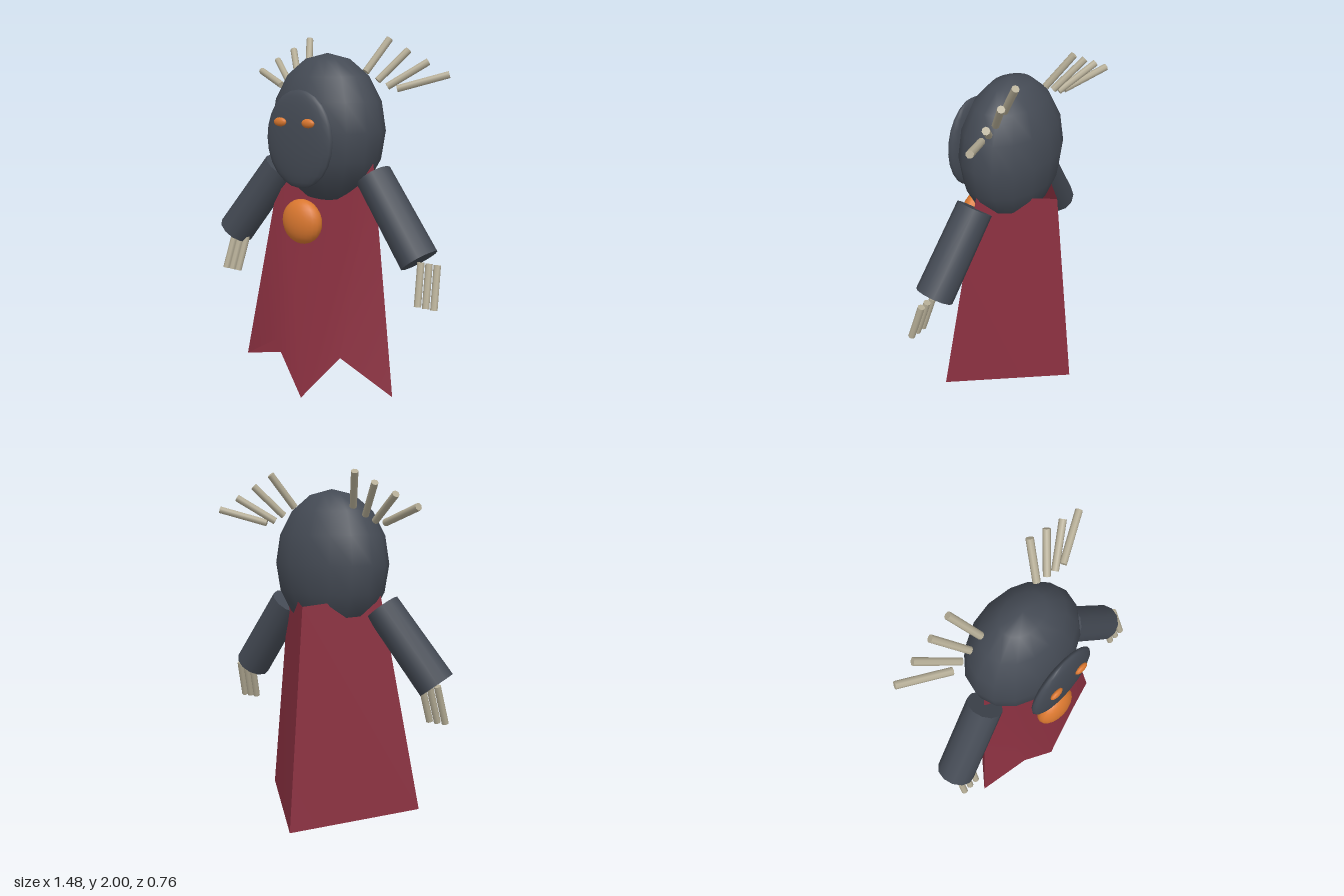
import * as THREE from 'three';

const mat = (name, color, extra = {}) => new THREE.MeshStandardMaterial({ name, color, ...extra });

export function createModel() {
  const model = new THREE.Group();
  model.name = 'hoodedFigure';
  const slate = mat('slate', 0x444a54);
  const crimson = mat('crimson', 0x8a3040, { side: THREE.DoubleSide });
  const orange = mat('orange', 0xd9772f);
  const bone = mat('bone', 0xb5ad96);
  const CX = -0.033; // middle of the body

  const add = (name, geometry, material) => {
    const mesh = new THREE.Mesh(geometry, material);
    mesh.name = name;
    model.add(mesh);
    return mesh;
  };

  const ellipsoid = (name, material, pos, radii, w, h) => {
    const mesh = add(name, new THREE.SphereGeometry(1, w, h), material);
    mesh.position.set(...pos);
    mesh.scale.set(...radii);
  };

  // Cylinder running from point a to point b
  const rod = (name, material, a, b, ra, rb, sides) => {
    const p = new THREE.Vector3(...a), q = new THREE.Vector3(...b);
    const mesh = add(name, new THREE.CylinderGeometry(ra, rb, p.distanceTo(q), sides), material);
    mesh.position.copy(p).lerp(q, 0.5);
    mesh.quaternion.setFromUnitVectors(new THREE.Vector3(0, 1, 0), p.sub(q).normalize());
  };

  const panel = (name, points, index) => {
    const g = new THREE.BufferGeometry();
    g.setAttribute('position', new THREE.Float32BufferAttribute(points.flat(), 3));
    g.setIndex(index);
    g.computeVertexNormals();
    add(name, g, crimson);
  };

  // Head, face plate, eyes and chest gem
  ellipsoid('head', slate, [CX, 1.5, 0.053], [0.342, 0.41, 0.25], 16, 8);
  ellipsoid('face', slate, [CX, 1.465, 0.318], [0.213, 0.26, 0.045], 20, 12);
  for (const s of [-1, 1]) ellipsoid('eye', orange, [CX + s * 0.09, 1.557, 0.364], [0.041, 0.024, 0.016], 12, 8);
  ellipsoid('chestGem', orange, [CX, 1.02, 0.3], [0.123, 0.123, 0.07], 20, 14);

  // Open three-sided robe with a ragged front hem
  const topL = [-0.34, 1.33, 0.07], topR = [0.274, 1.33, 0.07];
  const hemL = [-0.54, 0.105, 0.19], hemR = [0.48, 0.085, 0.19];
  const backTop = [CX, 1.28, -0.243], backHem = [CX, 0.045, -0.376];
  panel('robeFront',
    [topL, topR, hemR, [0.2, 0.277, 0.28], [CX, 0, 0.33], [-0.25, 0.285, 0.28], hemL],
    [0, 6, 5, 0, 5, 4, 0, 4, 1, 1, 4, 3, 1, 3, 2]);
  panel('robeBackLeft', [topR, hemR, backHem, backTop], [0, 1, 2, 0, 2, 3]);
  panel('robeBackRight', [backTop, backHem, hemL, topL], [0, 1, 2, 0, 2, 3]);

  // Head spikes: [tip x, tip y, base x, base y], measured from the middle
  const spikes = [
    [0.267, 1.985, 0.19, 1.81],
    [0.385, 1.925, 0.265, 1.765],
    [0.505, 1.865, 0.325, 1.735],
    [0.63, 1.8, 0.385, 1.725],
  ];
  for (const s of [-1, 1]) {
    for (const [tx, ty, bx, by] of spikes) {
      rod('headSpike', bone, [CX + s * tx, ty, -0.155], [CX + s * bx, by, -0.035], 0.02, 0.02, 8);
    }
    rod('arm', slate, [CX + s * 0.313, 1.268, 0.077], [CX + s * 0.625, 0.857, 0.128], 0.1, 0.106, 12);

    // Three fingers per hand
    const handX = s > 0 ? 0.65 : -0.615;
    for (const i of [-1, 0, 1]) {
      const x = handX + i * 0.047;
      rod('finger', bone, [x, 0.85, 0.13], [x + s * 0.022, 0.63, 0.2], 0.02, 0.02, 8);
    }
  }
  return model;
}
